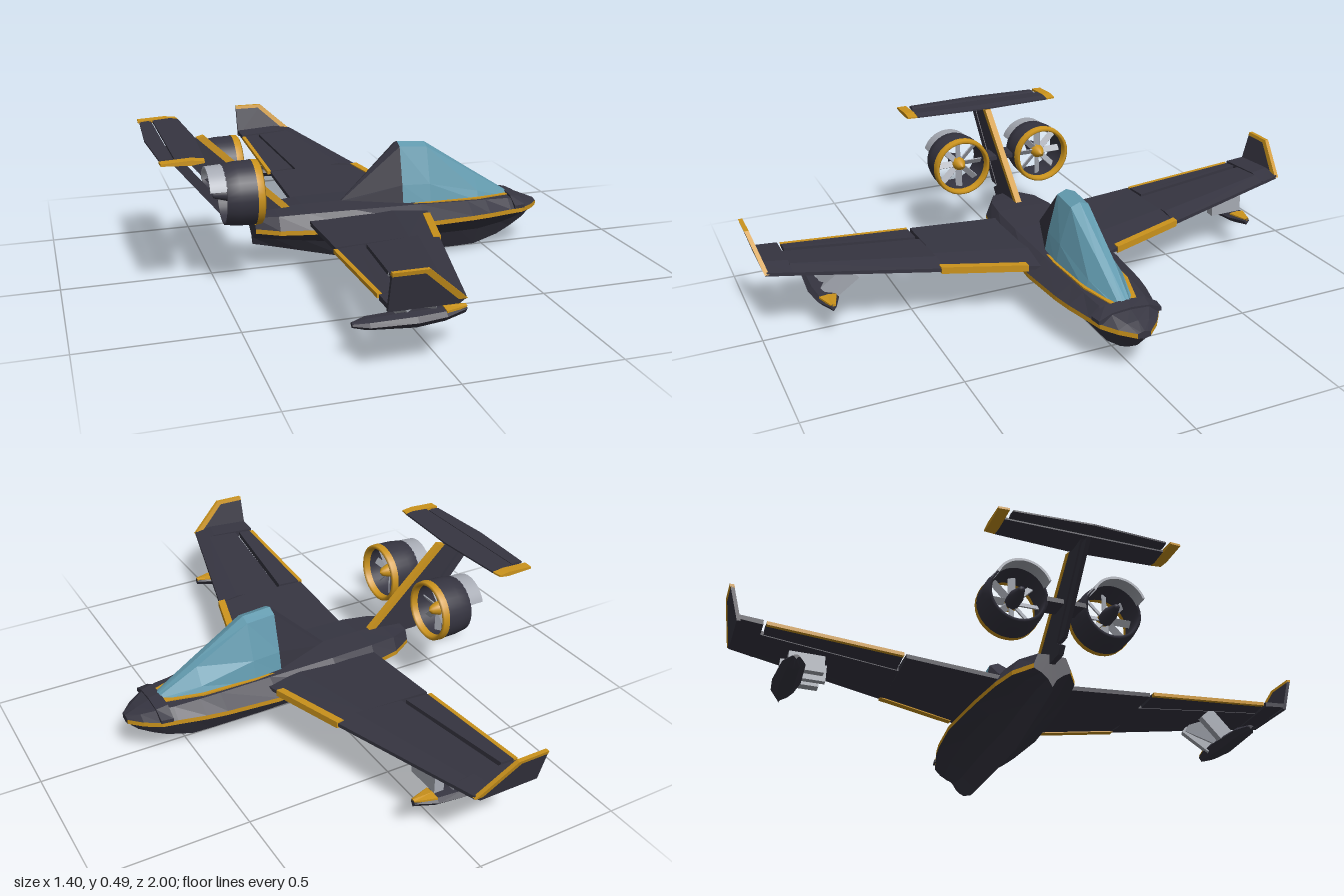
import * as THREE from 'three';

const paint = (name, color) => {
  const m = new THREE.MeshStandardMaterial({ color, side: THREE.DoubleSide });
  m.name = name;
  return m;
};
const V = (x, y, z) => new THREE.Vector3(x, y, z);

export function createModel() {
  const dark = paint('charcoal', 0x363541);
  const gold = paint('gold', 0xcb931c);
  const glass = paint('canopyBlue', 0x6199ad);
  const grey = paint('lightGrey', 0xa6aab3);
  const model = new THREE.Group();
  model.name = 'seaplane';

  const add = (name, geo, mat, parent = model) => {
    const m = new THREE.Mesh(geo, mat);
    m.name = name;
    parent.add(m);
    return m;
  };

  // Flat-faceted skin through rings of points; optionally only columns from..to, optionally capped
  const loft = (rings, { from = 0, to = rings[0].length, caps = true } = {}) => {
    const p = [], n = rings[0].length;
    const tri = (...v) => v.forEach(q => p.push(q.x, q.y, q.z));
    for (let i = 0; i + 1 < rings.length; i++) {
      for (let j = from; j < to; j++) {
        const k = (j + 1) % n;
        const [a, b, c, d] = [rings[i][j], rings[i][k], rings[i + 1][k], rings[i + 1][j]];
        tri(a, b, c);
        tri(a, c, d);
      }
    }
    if (caps) {
      const s = rings[0], e = rings[rings.length - 1];
      for (let j = 1; j + 1 < n; j++) {
        tri(s[0], s[j + 1], s[j]);
        tri(e[0], e[j], e[j + 1]);
      }
    }
    const g = new THREE.BufferGeometry();
    g.setAttribute('position', new THREE.Float32BufferAttribute(p, 3));
    g.computeVertexNormals();
    return g;
  };

  // Ring across x from its +z half, listed top centre to bottom centre
  const mirrorRing = (x, half) => [
    ...half.map(([z, y]) => V(x, y, z)),
    ...half.slice(1, -1).reverse().map(([z, y]) => V(x, y, -z)),
  ];
  // Flat panel in the xy plane, centred on z = 0
  const plate = (pts, depth) => new THREE.ExtrudeGeometry(
    new THREE.Shape(pts.map(([x, y]) => new THREE.Vector2(x, y))),
    { depth, bevelEnabled: false }).translate(0, 0, -depth / 2);
  // Wing section between trailing edge x0 and leading edge x1
  const foil = (z, y, x0, x1, t, [le, mid, te] = [0.35, 1, 0.45]) => {
    const h = t / 2, xm = x0 + (x1 - x0) * 0.7;
    return [V(x1, y + h * le, z), V(xm, y + h * mid, z), V(x0, y + h * te, z),
      V(x0, y - h * te, z), V(xm, y - h * mid, z), V(x1, y - h * le, z)];
  };

  // Hull: x, keel y, chine y, chine half width, deck y, deck half width
  const hull = [
    [-0.355, 0.09, 0.148, 0.062, 0.2, 0.048], [-0.28, 0.072, 0.148, 0.108, 0.208, 0.085],
    [-0.18, 0.046, 0.148, 0.13, 0.213, 0.1], [-0.02, 0.005, 0.148, 0.148, 0.213, 0.105],
    [0.22, 0, 0.148, 0.165, 0.208, 0.1], [0.4, 0, 0.147, 0.15, 0.2, 0.092],
    [0.47, 0.002, 0.146, 0.138, 0.197, 0.088], [0.56, 0.03, 0.144, 0.115, 0.192, 0.08],
    [0.61, 0.056, 0.142, 0.102, 0.186, 0.066], [0.66, 0.088, 0.139, 0.066, 0.17, 0.038],
    [0.7, 0.13, 0.136, 0.022, 0.154, 0.01],
  ].map(([x, k, c, w, d, dw]) => mirrorRing(x, [
    [0, d + 0.004], [dw, d], [w, c + 0.016], [w, c],
    [w * 0.62, k + (c - k) * 0.8], [w * 0.25, k + (c - k) * 0.48], [0, k]]));
  add('hullDeckLeft', loft(hull, { to: 2 }), dark);
  add('hullDeckRight', loft(hull, { from: 10, caps: false }), dark);
  add('hullBottom', loft(hull, { from: 3, to: 9, caps: false }), dark);
  add('chineStripeLeft', loft(hull, { from: 2, to: 3, caps: false }), gold);
  add('chineStripeRight', loft(hull, { from: 9, to: 10, caps: false }), gold);

  // Canopy and its rear fairing: x, base y, half width, top y, top half width
  const cabin = ([x, b, w, t, tw]) => mirrorRing(x, [
    [0, t], [tw, t - (t - b) * 0.06], [w * 0.82, b + (t - b) * 0.35], [w, b], [0, b]]);
  const peak = [0.165, 0.195, 0.08, 0.414, 0.032];
  const windscreen = [peak, [0.265, 0.195, 0.086, 0.406, 0.032],
    [0.45, 0.19, 0.074, 0.286, 0.026], [0.6, 0.18, 0.03, 0.19, 0.012]];
  add('canopyGlass', loft(windscreen.map(cabin)), glass);
  add('canopyFairing', loft([[-0.04, 0.2, 0.006, 0.216, 0.003], peak].map(cabin)), dark);
  add('canopyRim', loft(windscreen.map(([x, b, w]) =>
    mirrorRing(x, [[0, b + 0.014], [w + 0.006, b + 0.014], [w + 0.006, b], [0, b]]))), gold);
  // Nose collar around the foot of the windscreen
  add('noseCollar', loft([[0.575, 0.114, 0.192], [0.615, 0.108, 0.184]].map(([x, w, y]) =>
    mirrorRing(x, [[0, y + 0.012], [w * 0.6, y + 0.006], [w, 0.172], [w, 0.16], [0, 0.16]]))), dark);

  // One half of wing, float, fan and tailplane; mirrored for the other side
  const buildSide = (name, sign) => {
    const side = new THREE.Group();
    side.name = name;
    side.scale.z = sign;
    model.add(side);
    const put = (n, g, m, parent = side) => add(n, g, m, parent);

    // Wing, with a bay for the aileron
    const le = z => 0.269 - 0.259 * z, wy = z => 0.176 + 0.065 * z;
    const wing = (z0, xa, z1, xb) => loft([
      foil(z0, wy(z0), xa, le(z0), 0.036), foil(z1, wy(z1), xb, le(z1), 0.032)]);
    put('innerWing', wing(0.06, -0.18, 0.432, -0.186), dark);
    put('midWing', wing(0.432, -0.086, 0.888, -0.128), dark);
    put('wingTip', wing(0.888, -0.2, 0.966, -0.203), dark);
    const block = [1, 1, 1];
    const strip = (z0, a0, a1, z1, b0, b1, t, prof) => loft([
      foil(z0, wy(z0), a0, a1, t, prof), foil(z1, wy(z1), b0, b1, t, prof)]);
    put('aileron', strip(0.442, -0.182, -0.098, 0.878, -0.188, -0.14, 0.022, [1, 0.9, 0.5]), dark);
    put('aileronEdge', strip(0.442, -0.196, -0.182, 0.878, -0.202, -0.188, 0.012, block), gold);
    put('wingLeadingEdge',
      strip(0.165, le(0.165) - 0.022, le(0.165) + 0.004, 0.44, le(0.44) - 0.022, le(0.44) + 0.004, 0.023, block), gold);

    // Upswept winglet, leaning outward
    const winglet = (n, pts, d, m) => {
      const g = plate(pts, d), p = g.attributes.position;
      for (let i = 0; i < p.count; i++) p.setZ(i, p.getZ(i) + 0.965 + (p.getY(i) - 0.235) * 0.27);
      g.computeVertexNormals();
      put(n, g, m);
    };
    winglet('winglet', [[-0.203, 0.224], [0, 0.224], [0.018, 0.24], [-0.1, 0.338], [-0.203, 0.338]], 0.012, dark);
    winglet('wingletEdge', [[0.022, 0.238], [-0.098, 0.346], [-0.203, 0.346], [-0.203, 0.334],
      [-0.11, 0.334], [-0.005, 0.238]], 0.014, gold);

    // Outrigger float: x, half width, bottom y, top y
    const pod = [[-0.245, 0.012, 0.105, 0.118], [-0.2, 0.036, 0.092, 0.124], [-0.06, 0.045, 0.083, 0.128],
      [0.03, 0.036, 0.09, 0.13], [0.1, 0.01, 0.108, 0.13]];
    const floatGroup = new THREE.Group();
    floatGroup.name = 'float';
    floatGroup.position.z = 0.785;
    side.add(floatGroup);
    put('floatBody', loft(pod.map(([x, w, b, t]) => mirrorRing(x, [
      [0, t + 0.003], [w * 0.7, t], [w, (t * 2 + b) / 3], [w * 0.5, b + 0.008], [0, b]]))), dark, floatGroup);
    put('floatTrim', loft(pod.slice(3).map(([x, w, b, t]) => mirrorRing(x, [
      [0, t + 0.005], [w * 0.8, t + 0.002], [w * 0.8, t - 0.005], [0, t - 0.005]]))), gold, floatGroup);

    // N-shaped float struts
    [[0.035, -0.005, 0.034], [-0.1, -0.1, 0.026], [0.01, -0.085, 0.022]].forEach(([top, foot, w], i) => {
      const a = V(foot, 0.125, 0.775), b = V(top, 0.208, 0.695);
      const strut = put('strut' + (i + 1), new THREE.BoxGeometry(w, 0.058, a.distanceTo(b)), grey);
      strut.position.copy(a).lerp(b, 0.5);
      strut.lookAt(b.add(strut.position).sub(a.clone().lerp(V(top, 0.208, 0.695), 0.5)));
    });

    // Ducted fan, local +y pointing forward
    const fan = new THREE.Group();
    fan.name = 'ductedFan';
    fan.position.set(-0.36, 0.328, 0.16);
    fan.rotation.z = -Math.PI / 2;
    side.add(fan);
    const lathe = pts => new THREE.LatheGeometry(pts.map(([r, y]) => new THREE.Vector2(r, y)), 32);
    put('duct', lathe([[0.091, -0.02], [0.09, -0.07], [0.088, -0.122], [0.098, -0.122],
      [0.104, -0.08], [0.105, -0.02]]), dark, fan);
    put('ductLip', lathe([[0.09, -0.026], [0.092, -0.006], [0.098, 0], [0.105, -0.005], [0.107, -0.026]]), gold, fan);
    put('spinner', lathe([[0, -0.012], [0.014, -0.022], [0.024, -0.048], [0.024, -0.06]]), gold, fan);
    put('fanHub', lathe([[0.024, -0.06], [0.024, -0.1], [0.01, -0.15], [0, -0.155]]), dark, fan);
    for (let i = 0; i < 8; i++) {
      const arm = new THREE.Group();
      arm.name = 'bladeArm' + (i + 1);
      arm.rotation.y = i * Math.PI / 4;
      fan.add(arm);
      const blade = put('blade', new THREE.BoxGeometry(0.068, 0.004, 0.024), grey, arm);
      blade.position.set(0.056, -0.056, 0);
      blade.rotation.x = 0.6;
    }
    // Upper exhaust shroud
    const arc = [Math.PI * 1.12, Math.PI * 0.76];
    [0.098, 0.09].forEach((r, i) => put(i ? 'shroudInner' : 'shroudOuter',
      new THREE.CylinderGeometry(r, r - 0.003, 0.056, 20, 1, true, ...arc), grey, fan).position.y = -0.146);
    const rim = put('shroudRim', new THREE.RingGeometry(0.087, 0.095, 20, 1, Math.PI * 0.62, Math.PI * 0.76), grey, fan);
    rim.rotation.x = Math.PI / 2;
    rim.position.y = -0.174;
    // Pylon to the fin
    put('pylon', new THREE.BoxGeometry(0.075, 0.016, 0.065), dark).position.set(-0.445, 0.328, 0.034);

    // Tailplane half, elevator and gold tip
    const tail = (n, z0, a0, a1, z1, b0, b1, m, t = 0.016) =>
      put(n, loft([foil(z0, 0.48, a0, a1, t), foil(z1, 0.48, b0, b1, t)]), m);
    tail('tailplane', 0, -0.64, -0.538, 0.265, -0.64, -0.552, dark);
    tail('elevator', 0, -0.7, -0.645, 0.252, -0.686, -0.645, dark, 0.012);
    tail('tailTip', 0.265, -0.69, -0.552, 0.3, -0.688, -0.556, gold);
  };
  buildSide('leftSide', 1);
  buildSide('rightSide', -1);

  // Swept fin, rudder and gold leading edge
  add('fin', plate([[-0.225, 0.2], [-0.515, 0.478], [-0.625, 0.478], [-0.412, 0.215],
    [-0.445, 0.195], [-0.425, 0.17], [-0.345, 0.17], [-0.345, 0.2]], 0.018), dark);
  add('rudder', plate([[-0.424, 0.212], [-0.625, 0.458], [-0.664, 0.458], [-0.464, 0.212]], 0.014), dark);
  add('finLeadingEdge', plate([[-0.215, 0.205], [-0.508, 0.486], [-0.532, 0.48], [-0.245, 0.205]], 0.022), gold);

  return model;
}
